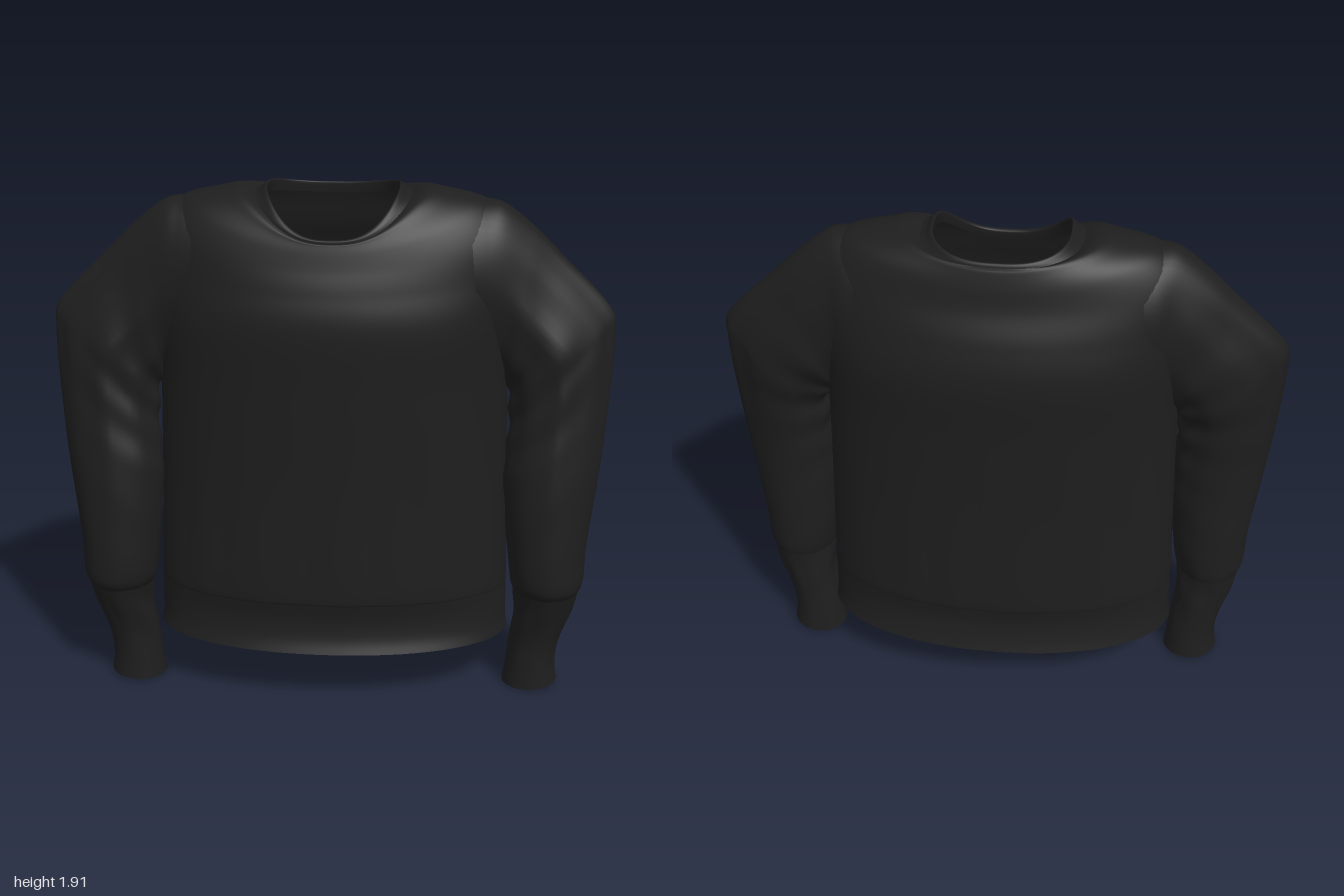
import * as THREE from 'three';

// Smoothly resample rows of cross-section values
function resample(rows, steps) {
  const out = [];
  const n = rows.length;
  for (let i = 0; i < n - 1; i++) {
    const [a, b, c, d] = [rows[Math.max(i - 1, 0)], rows[i], rows[i + 1], rows[Math.min(i + 2, n - 1)]];
    for (let s = 0; s < steps; s++) {
      const t = s / steps;
      out.push(b.map((v, k) => v + 0.5 * t * (c[k] - a[k] +
        t * (2 * a[k] - 5 * v + 4 * c[k] - d[k] + t * (3 * (v - c[k]) + d[k] - a[k])))));
    }
  }
  out.push(rows[n - 1]);
  return out;
}

// Skin closed rings into an open tube; point(row, angle) gives each vertex,
// and faces starting where hole(x, y, z) is true are left out
function loft(rows, segs, point, { flip = false, hole = () => false } = {}) {
  const pos = [], idx = [];
  rows.forEach((row) => {
    for (let j = 0; j < segs; j++) pos.push(...point(row, (j / segs) * Math.PI * 2));
  });
  for (let i = 0; i < rows.length - 1; i++) {
    for (let j = 0; j < segs; j++) {
      const a = i * segs + j, b = i * segs + (j + 1) % segs, c = a + segs, d = b + segs;
      if (hole(pos[a * 3], pos[a * 3 + 1], pos[a * 3 + 2])) continue;
      if (flip) idx.push(a, b, c, b, d, c);
      else idx.push(a, c, b, b, c, d);
    }
  }
  const g = new THREE.BufferGeometry();
  g.setAttribute('position', new THREE.Float32BufferAttribute(pos, 3));
  g.setIndex(idx);
  g.computeVertexNormals();
  return g;
}

const power = (v, e) => Math.sign(v) * Math.pow(Math.abs(v), e);
const bump = (v, mid, width) => Math.exp(-(((v - mid) / width) ** 2));

// Ring of the torso or collar: [halfWidth, sideY, frontZ, frontY, backZ, backY, exponent]
function torsoPoint([w, ys, zf, yf, zb, yb, e], a) {
  const c = Math.cos(a), s = Math.sin(a);
  const x = w * power(c, 2 / e);
  const z = power(Math.abs(s), 2 / e) * (s > 0 ? zf : zb);
  const y = ys + ((s > 0 ? yf : yb) - ys) * s * s;
  // soft vertical folds in the lower half
  const fold = 1 + 0.012 * bump(ys, 0.65, 0.25) * Math.sin(a * 17 + 1.5 * Math.sin(a * 5));
  return [x, y, z * fold];
}

// Ring of a sleeve: [outerX, outerY, innerX, innerY, centreZ, halfDepth, foldAmount, outerPinch]
function sleevePoint([ox, oy, ix, iy, cz, rz, f, pinch], a) {
  const c = Math.cos(a), s = Math.sin(a);
  const crease = f * (Math.sin(oy * 27 + 3 * a) * (0.5 - 0.5 * c) + 0.5 * Math.sin(a * 9));
  const k = 1 + crease;
  const depth = rz * (1 - pinch * Math.max(c, 0));
  return [(ox + ix) / 2 + c * k * (ox - ix) / 2, (oy + iy) / 2 + c * (oy - iy) / 2, cz + s * k * depth];
}

export function createModel() {
  const model = new THREE.Group();
  const cloth = new THREE.MeshStandardMaterial({ name: 'black knit', color: 0x1e1e1e, side: THREE.DoubleSide });
  const add = (name, geometry, parent = model) => {
    const mesh = new THREE.Mesh(geometry, cloth);
    mesh.name = name;
    parent.add(mesh);
  };

  // Waistband, slightly drawn in
  const level = (w, y, zf, zb) => [w, y, zf, y, zb, y, 2.1];
  const band = [
    level(0.662, 0.22, 0.313, -0.312),
    level(0.655, 0.27, 0.292, -0.296),
    level(0.655, 0.34, 0.284, -0.284),
    level(0.652, 0.41, 0.297, -0.292),
  ];
  add('waistband', loft(resample(band, 4), 96, torsoPoint));

  // Torso, rising over the shoulders to the neckline, with open armholes
  const torso = [
    level(0.652, 0.41, 0.297, -0.292),
    level(0.652, 0.46, 0.306, -0.302),
    level(0.64, 0.8, 0.306, -0.3),
    level(0.63, 1.2, 0.32, -0.312),
    level(0.64, 1.45, 0.328, -0.325),
    [0.65, 1.62, 0.302, 1.58, -0.295, 1.6, 2],
    [0.63, 1.76, 0.275, 1.66, -0.25, 1.71, 2],
    [0.54, 1.855, 0.259, 1.71, -0.228, 1.79, 2],
    [0.4, 1.892, 0.25, 1.735, -0.212, 1.84, 2.1],
    [0.33, 1.9, 0.247, 1.742, -0.206, 1.853, 2.3],
    [0.275, 1.88, 0.242, 1.745, -0.203, 1.86, 2.5],
  ];
  const armhole = (x, y, z) => Math.abs(x) > 0.54 && ((y - 1.56) / 0.25) ** 2 + (z / 0.15) ** 2 < 0.8;
  add('torso', loft(resample(torso, 8), 96, torsoPoint, { hole: armhole }));

  // Collar rib, turned in at the top
  const collar = [
    [0.275, 1.88, 0.242, 1.745, -0.203, 1.86, 2.5],
    [0.256, 1.888, 0.241, 1.754, -0.2, 1.868, 2.6],
    [0.238, 1.904, 0.232, 1.757, -0.194, 1.873, 2.7],
    [0.23, 1.9, 0.222, 1.749, -0.188, 1.868, 2.7],
    [0.236, 1.86, 0.228, 1.72, -0.192, 1.835, 2.7],
  ];
  add('collar', loft(resample(collar, 4), 96, torsoPoint));

  // Sleeve from shoulder to wrist, then a gathered cuff
  const sleeve = [
    [0.47, 1.862, 0.52, 1.33, 0.005, 0.195, 0, 0],
    [0.53, 1.86, 0.54, 1.29, 0.005, 0.182, 0, 0],
    [0.6, 1.845, 0.56, 1.26, 0.01, 0.164, 0.01, 0.05],
    [0.7, 1.768, 0.58, 1.24, 0.008, 0.152, 0.03, 0.15],
    [0.8, 1.67, 0.6, 1.22, 0.01, 0.15, 0.05, 0.3],
    [0.975, 1.49, 0.625, 1.18, 0.025, 0.148, 0.05, 0.5],
    [0.998, 1.38, 0.64, 1.12, 0.035, 0.142, 0.05, 0.45],
    [0.99, 1.15, 0.635, 1.0, 0.055, 0.14, 0.025, 0.3],
    [0.97, 0.9, 0.625, 0.85, 0.078, 0.147, 0.015, 0.15],
    [0.938, 0.6, 0.645, 0.6, 0.087, 0.153, 0.01, 0],
    [0.933, 0.46, 0.662, 0.46, 0.09, 0.15, 0.01, 0],
    [0.918, 0.41, 0.678, 0.41, 0.083, 0.134, 0.02, 0],
  ];
  const cuff = [
    [0.918, 0.41, 0.678, 0.41, 0.083, 0.134, 0.02, 0],
    [0.9, 0.32, 0.68, 0.32, 0.07, 0.115, 0.04, 0],
    [0.862, 0.2, 0.672, 0.2, 0.055, 0.098, 0.02, 0],
    [0.848, 0.1, 0.662, 0.1, 0.05, 0.096, 0.01, 0],
    [0.857, 0.012, 0.65, 0, 0.048, 0.1, 0, 0],
  ];
  for (const side of [1, -1]) {
    const arm = new THREE.Group();
    arm.name = side > 0 ? 'leftArm' : 'rightArm';
    const mirrored = (row, a) => {
      const [x, y, z] = sleevePoint(row, a);
      return [side * x, y, z];
    };
    add('sleeve', loft(resample(sleeve, 8), 48, mirrored, { flip: side > 0 }), arm);
    add('cuff', loft(resample(cuff, 6), 48, mirrored, { flip: side > 0 }), arm);
    model.add(arm);
  }
  return model;
}
